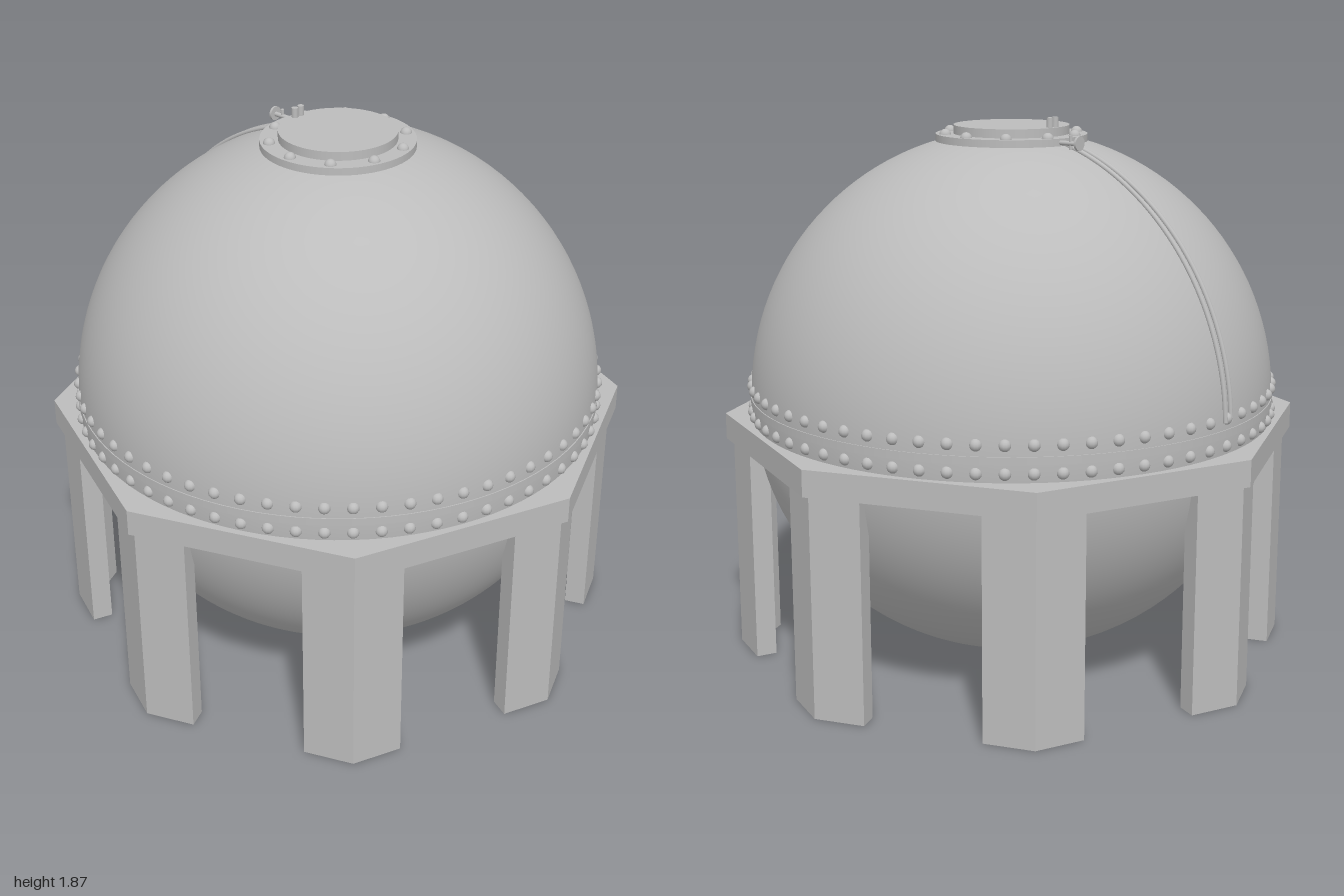
import * as THREE from 'three';

const R = 0.905, CY = 0.915;

export function createModel() {
  const model = new THREE.Group();
  const steel = new THREE.MeshStandardMaterial({ color: 0xbcbcbc });
  steel.name = 'grey steel';

  const add = (name, geometry, x = 0, y = 0, z = 0, parent = model) => {
    const mesh = new THREE.Mesh(geometry, steel);
    mesh.name = name;
    mesh.position.set(x, y, z);
    parent.add(mesh);
    return mesh;
  };
  const group = (name) => {
    const g = new THREE.Group();
    g.name = name;
    model.add(g);
    return g;
  };
  // Extrudes a flat outline upward from y = 0
  const prism = (shape, height, curveSegments = 64) =>
    new THREE.ExtrudeGeometry(shape, { depth: height, bevelEnabled: false, curveSegments })
      .rotateX(-Math.PI / 2);

  // Spherical tank and its equator seam
  add('tank', new THREE.SphereGeometry(R, 96, 64), 0, CY, 0);
  add('seamBand', new THREE.CylinderGeometry(R + 0.003, R + 0.003, 0.026, 96), 0, CY, 0);

  // Two rows of rivets around the equator
  const rivets = group('rivets');
  const rivetGeo = new THREE.SphereGeometry(0.02, 12, 8);
  for (const y of [0.873, 0.963]) {
    const r = Math.sqrt(R * R - (y - CY) ** 2) - 0.004;
    for (let i = 0; i < 64; i++) {
      const a = (i / 64) * Math.PI * 2;
      add('rivet', rivetGeo, Math.sin(a) * r, y, Math.cos(a) * r, rivets);
    }
  }

  // Octagonal support ring
  const ring = new THREE.Shape();
  for (let i = 0; i < 8; i++) {
    const a = (i * Math.PI) / 4;
    ring[i ? 'lineTo' : 'moveTo'](Math.cos(a), Math.sin(a));
  }
  ring.closePath();
  ring.holes.push(new THREE.Path().absarc(0, 0, 0.875, 0, Math.PI * 2, true));
  add('supportRing', prism(ring, 0.09), 0, 0.755, 0);

  // Angled legs, one below each corner of the ring
  const leg = new THREE.Shape([
    [0.975, 0], [0.909, 0.16], [0.844, 0.133], [0.899, 0], [0.844, -0.133], [0.909, -0.16],
  ].map(([x, y]) => new THREE.Vector2(x, y)));
  const legGeo = prism(leg, 0.757);
  const legs = group('legs');
  for (let i = 0; i < 8; i++) add('leg', legGeo, 0, 0, 0, legs).rotation.y = (i * Math.PI) / 4;

  // Top hatch: flange, lid and bolts
  const hatch = group('hatch');
  add('flange', new THREE.CylinderGeometry(0.258, 0.258, 0.025, 64), 0, 1.798, 0, hatch);
  add('lid', new THREE.CylinderGeometry(0.197, 0.197, 0.04, 64), 0, 1.82, 0, hatch);
  const boltGeo = new THREE.SphereGeometry(0.02, 14, 10);
  for (let i = 0; i < 10; i++) {
    const a = (i / 10) * Math.PI * 2;
    add('bolt', boltGeo, Math.cos(a) * 0.229, 1.809, Math.sin(a) * 0.229, hatch);
  }

  // Pair of pegs on the lid, and twin pipes running down the back of the tank
  const pegGeo = new THREE.CylinderGeometry(0.011, 0.011, 0.04, 16);
  for (const side of [-1, 1]) {
    add('lidPeg', pegGeo, side * 0.014, 1.853, -0.18, hatch);
    const points = [];
    for (let i = 0; i <= 12; i++) {
      const a = THREE.MathUtils.lerp(0.25, 1.53, i / 12);
      points.push(new THREE.Vector3(side * 0.015, CY + Math.cos(a) * (R + 0.004), -Math.sin(a) * (R + 0.004)));
    }
    add('pipe', new THREE.TubeGeometry(new THREE.CatmullRomCurve3(points), 48, 0.008, 10));
  }

  // Small valve beside the pipes
  const valve = group('valve');
  add('valvePipe', new THREE.CylinderGeometry(0.008, 0.008, 0.09, 12).rotateX(Math.PI / 2), 0.046, 1.797, -0.288, valve);
  add('valveStem', new THREE.CylinderGeometry(0.006, 0.006, 0.045, 12), 0.046, 1.799, -0.295, valve);
  add('valveWheel', new THREE.CylinderGeometry(0.024, 0.024, 0.008, 20).rotateX(Math.PI / 2), 0.046, 1.799, -0.33, valve);

  return model;
}
